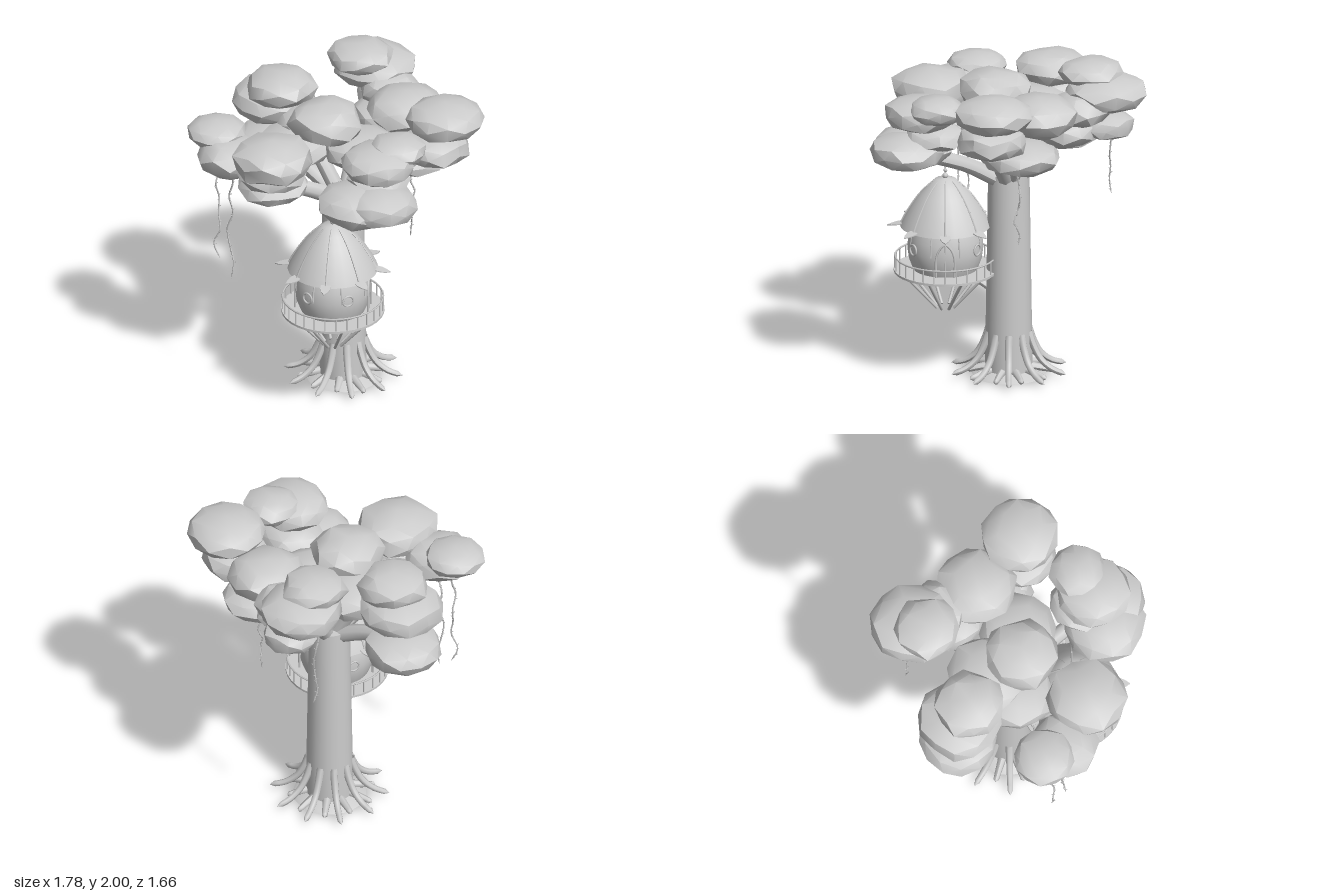
import * as THREE from 'three';
import { toCreasedNormals } from 'three/addons/utils/BufferGeometryUtils.js';

const V = (x, y, z) => new THREE.Vector3(x, y, z);
const TRUNK = V(0.016, 0, -0.02);
const HOUSE = V(0.014, 0, 0.36);

export function createModel() {
  const model = new THREE.Group();
  const grey = new THREE.MeshStandardMaterial({ color: 0xcccccc });
  grey.name = 'clay grey';
  grey.side = THREE.DoubleSide;

  let seed = 7;
  const rand = () => (seed = (seed * 16807) % 2147483647) / 2147483647;

  const add = (parent, name, geometry) => {
    const mesh = new THREE.Mesh(geometry, grey);
    mesh.name = name;
    parent.add(mesh);
    return mesh;
  };
  const group = (name, position) => {
    const g = new THREE.Group();
    g.name = name;
    if (position) g.position.copy(position);
    model.add(g);
    return g;
  };
  const lathe = (points, segments) =>
    new THREE.LatheGeometry(points.map(([r, y]) => new THREE.Vector2(r, y)), segments);
  // point on a circle; angle 0 faces the front
  const polar = (a, r, y) => V(Math.sin(a) * r, y, Math.cos(a) * r);

  // straight round bar between two points
  const bar = (parent, name, a, b, r, sides = 6) => {
    const m = add(parent, name, new THREE.CylinderGeometry(r, r, a.distanceTo(b), sides));
    m.position.copy(a).lerp(b, 0.5);
    m.quaternion.setFromUnitVectors(V(0, 1, 0), b.clone().sub(a).normalize());
  };
  // curved limb whose radius goes from r0 to r1, with a closed tip
  const limb = (parent, name, points, r0, r1, sides = 7, steps = 12) => {
    const curve = new THREE.CatmullRomCurve3(points);
    const g = new THREE.TubeGeometry(curve, steps, 1, sides);
    const p = g.attributes.position;
    for (let i = 0; i < p.count; i++) {
      const ring = Math.floor(i / (sides + 1));
      const c = curve.getPointAt(ring / steps);
      const r = ring === steps ? 0.001 : r0 + (r1 - r0) * ring / steps;
      const v = V(0, 0, 0).fromBufferAttribute(p, i).sub(c).multiplyScalar(r).add(c);
      p.setXYZ(i, v.x, v.y, v.z);
    }
    g.computeVertexNormals();
    add(parent, name, g);
  };

  // trunk and its low foot
  const trunk = group('trunk', TRUNK);
  add(trunk, 'trunkColumn', toCreasedNormals(lathe([[0, 0], [0.22, 0], [0.2, 0.012], [0.142, 0.035],
    [0.139, 0.3], [0.132, 0.75], [0.124, 1.275], [0, 1.28]], 24), 0.6));

  // long roots, with short ones between them
  const roots = group('roots', TRUNK);
  for (let i = 0; i < 10; i++) {
    const a = (i + 0.5) / 10 * Math.PI * 2;
    limb(roots, 'longRoot', [polar(a, 0.125, 0.275), polar(a, 0.155, 0.19), polar(a, 0.2, 0.11),
      polar(a, 0.27, 0.055), polar(a, 0.36, 0.028)], 0.024, 0.017);
    const b = i / 10 * Math.PI * 2;
    limb(roots, 'shortRoot', [polar(b, 0.1, 0.05), polar(b, 0.19, 0.035),
      polar(b, 0.25 + rand() * 0.04, 0.018)], 0.028, 0.016);
  }

  // branches: x, y, z of the far end
  const branches = group('branches');
  for (const [x, y, z] of [[-0.4, 1.44, 0.28], [-0.45, 1.42, -0.3], [-0.25, 1.62, -0.15],
    [0.14, 1.68, -0.5], [0.4, 1.55, -0.15], [0.5, 1.58, 0.08], [0.28, 1.47, 0.45]]) {
    const start = V(TRUNK.x + x * 0.08, 1.22, TRUNK.z + z * 0.08);
    const mid = V(x * 0.5, 1.25 + (y - 1.25) * 0.5, z * 0.5);
    limb(branches, 'branch', [start, mid, V(x, y, z)], 0.052, 0.045, 8);
  }

  // leaf clumps: x, y, z, radius, half height
  const canopy = group('canopy');
  const clumps = [
    [0.05, 1.92, -0.51, 0.195, 0.08], [0.12, 1.82, -0.6, 0.25, 0.105], [0.18, 1.635, -0.6, 0.17, 0.08],
    [0.23, 1.75, -0.45, 0.18, 0.1], [0.22, 1.62, -0.36, 0.2, 0.1],
    [0.37, 1.755, -0.2, 0.235, 0.12], [0.42, 1.51, -0.1, 0.235, 0.09],
    [0.65, 1.855, 0.07, 0.235, 0.105], [0.59, 1.665, 0.08, 0.21, 0.1],
    [0.42, 1.805, 0.41, 0.17, 0.08], [0.31, 1.75, 0.5, 0.225, 0.1], [0.3, 1.6, 0.42, 0.18, 0.08],
    [0.34, 1.52, 0.59, 0.225, 0.1], [0.2, 1.5, 0.56, 0.245, 0.115],
    [-0.34, 1.69, 0.44, 0.245, 0.12], [-0.35, 1.59, 0.42, 0.21, 0.09], [-0.35, 1.475, 0.36, 0.215, 0.085],
    [-0.61, 1.61, 0.29, 0.205, 0.115], [-0.72, 1.705, 0.17, 0.18, 0.075],
    [-0.4, 1.8, -0.27, 0.21, 0.1], [-0.45, 1.68, -0.33, 0.255, 0.11], [-0.465, 1.385, -0.335, 0.235, 0.105],
    [-0.08, 1.765, 0.06, 0.22, 0.12], [0.14, 1.59, 0.04, 0.23, 0.1],
    [-0.16, 1.64, -0.15, 0.24, 0.11], [-0.26, 1.58, 0.02, 0.23, 0.095],
  ];
  clumps.forEach(([x, y, z, r, h], k) => {
    const g = new THREE.IcosahedronGeometry(1, 1);
    const p = g.attributes.position;
    for (let i = 0; i < p.count; i++) {
      const v = V(0, 0, 0).fromBufferAttribute(p, i);
      // equal corners get an equal push, so the surface stays closed; the rim is made fuller
      const s = 1.01 + 0.07 * Math.sin(v.x * 5 + k) * Math.cos(v.y * 4 + v.z * 6 + k * 2);
      p.setXYZ(i, v.x * s, Math.sign(v.y) * Math.abs(v.y) ** 0.8 * s, v.z * s);
    }
    g.rotateY(k * 1.3);
    g.scale(r, h, r);
    add(canopy, 'leafClump', toCreasedNormals(g, 0.6)).position.set(x, y, z);
  });

  // hanging vines with tiny leaves: x, z, top, bottom
  const vines = group('vines');
  for (const [x, z, top, bottom] of [[-0.71, 0.22, 1.58, 0.87], [-0.62, 0.29, 1.55, 0.78],
    [0.42, -0.07, 1.48, 0.95], [0.02, -0.63, 1.72, 1.15]]) {
    const points = [];
    for (let i = 0; i <= 7; i++) {
      points.push(V(x + (rand() - 0.5) * 0.05, top + (bottom - top) * i / 7, z + (rand() - 0.5) * 0.04));
    }
    limb(vines, 'vine', points, 0.006, 0.004, 5, 28);
    const curve = new THREE.CatmullRomCurve3(points);
    for (let i = 3; i < 22; i++) {
      const leaf = add(vines, 'vineLeaf', new THREE.ConeGeometry(0.005, 0.022, 4));
      const a = i * 2.4;
      leaf.position.copy(curve.getPointAt(i / 22)).add(polar(a, 0.008, 0));
      leaf.rotation.set(Math.cos(a), 0, -Math.sin(a));
    }
  }

  // round hanging house
  const house = group('treeHouse', HOUSE);
  const bodyProfile = [[0.195, 0.67], [0.218, 0.73], [0.228, 0.8], [0.222, 0.87], [0.2, 0.95], [0.17, 1.0]];
  add(house, 'houseBody', lathe(bodyProfile, 28));
  const roofProfile = [[0.272, 0.94], [0.246, 0.995], [0.202, 1.07], [0.153, 1.14], [0.1, 1.195],
    [0.055, 1.232], [0, 1.242]];
  add(house, 'roof', lathe(roofProfile, 28));

  // eave leaf, drooping outwards
  const leafShape = new THREE.Shape();
  leafShape.moveTo(0, -0.03);
  leafShape.quadraticCurveTo(0.065, 0.03, 0, 0.105);
  leafShape.quadraticCurveTo(-0.065, 0.03, 0, -0.03);
  const leafGeometry = new THREE.ExtrudeGeometry(leafShape, { depth: 0.006, bevelEnabled: false, curveSegments: 5 });
  leafGeometry.rotateX(Math.PI / 2 + 0.2);

  // roof ribs, wall ribs and eave leaves
  for (let i = 0; i < 8; i++) {
    const a = i / 8 * Math.PI * 2;
    limb(house, 'roofRib', roofProfile.slice(0, 6).map(([r, y]) => polar(a, r, y)), 0.007, 0.005, 5);
    limb(house, 'wallRib', bodyProfile.map(([r, y]) => polar(a + 0.39, r, y)).slice(2), 0.005, 0.005, 5);
    const leaf = add(house, 'eaveLeaf', leafGeometry);
    leaf.position.copy(polar(a, 0.248, 0.96));
    leaf.rotation.y = a;
  }

  // round windows, two in front and two behind
  for (const a of [0.57, -0.57, Math.PI - 0.57, Math.PI + 0.57]) {
    const frame = add(house, 'windowFrame', new THREE.TorusGeometry(0.033, 0.006, 6, 18));
    frame.position.copy(polar(a, 0.228, 0.82));
    frame.rotation.y = a;
  }

  // arched doors on both sides
  for (const s of [-1, 1]) {
    const points = [[-0.055, 0.68], [-0.055, 0.8], [-0.035, 0.855], [0, 0.885],
      [0.035, 0.855], [0.055, 0.8], [0.055, 0.68]]
      .map(([z, y]) => V(s * Math.sqrt(0.228 ** 2 - z * z) - s * Math.max(0, y - 0.82) * 0.15, y, z));
    add(house, 'doorFrame', new THREE.TubeGeometry(new THREE.CatmullRomCurve3(points), 24, 0.007, 5));
    bar(house, 'doorSeam', V(s * 0.22, 0.68, 0), V(s * 0.222, 0.88, 0), 0.005);
  }

  // deck, railing and struts
  const deck = group('deck', HOUSE);
  add(deck, 'deckFloor', new THREE.CylinderGeometry(0.31, 0.31, 0.014, 32)).position.y = 0.659;
  const rail = add(deck, 'handRail', new THREE.TorusGeometry(0.302, 0.006, 5, 36).rotateX(Math.PI / 2));
  rail.position.y = 0.746;
  for (let i = 0; i < 28; i++) {
    const a = i / 28 * Math.PI * 2;
    bar(deck, 'railPost', polar(a, 0.302, 0.665), polar(a, 0.302, 0.746), 0.0045, 5);
  }
  for (let i = 0; i < 8; i++) {
    const a = (i + 0.5) / 8 * Math.PI * 2;
    bar(deck, 'strut', polar(a, 0.265, 0.655), polar(a, 0.055, 0.42), 0.0095);
  }

  // bough from the trunk under the deck
  limb(model, 'supportBough', [V(0.012, 0.53, 0.08), V(0.012, 0.59, 0.17), V(0.012, 0.62, 0.25),
    V(0.012, 0.63, 0.35)], 0.024, 0.016);

  // rope and knots above the roof
  bar(house, 'rope', V(0, 1.235, 0), V(0, 1.52, 0), 0.005);
  for (const [y, r] of [[1.25, 0.018], [1.285, 0.012], [1.34, 0.009]]) {
    add(house, 'ropeKnot', new THREE.SphereGeometry(r, 8, 6)).position.y = y;
  }

  return model;
}
